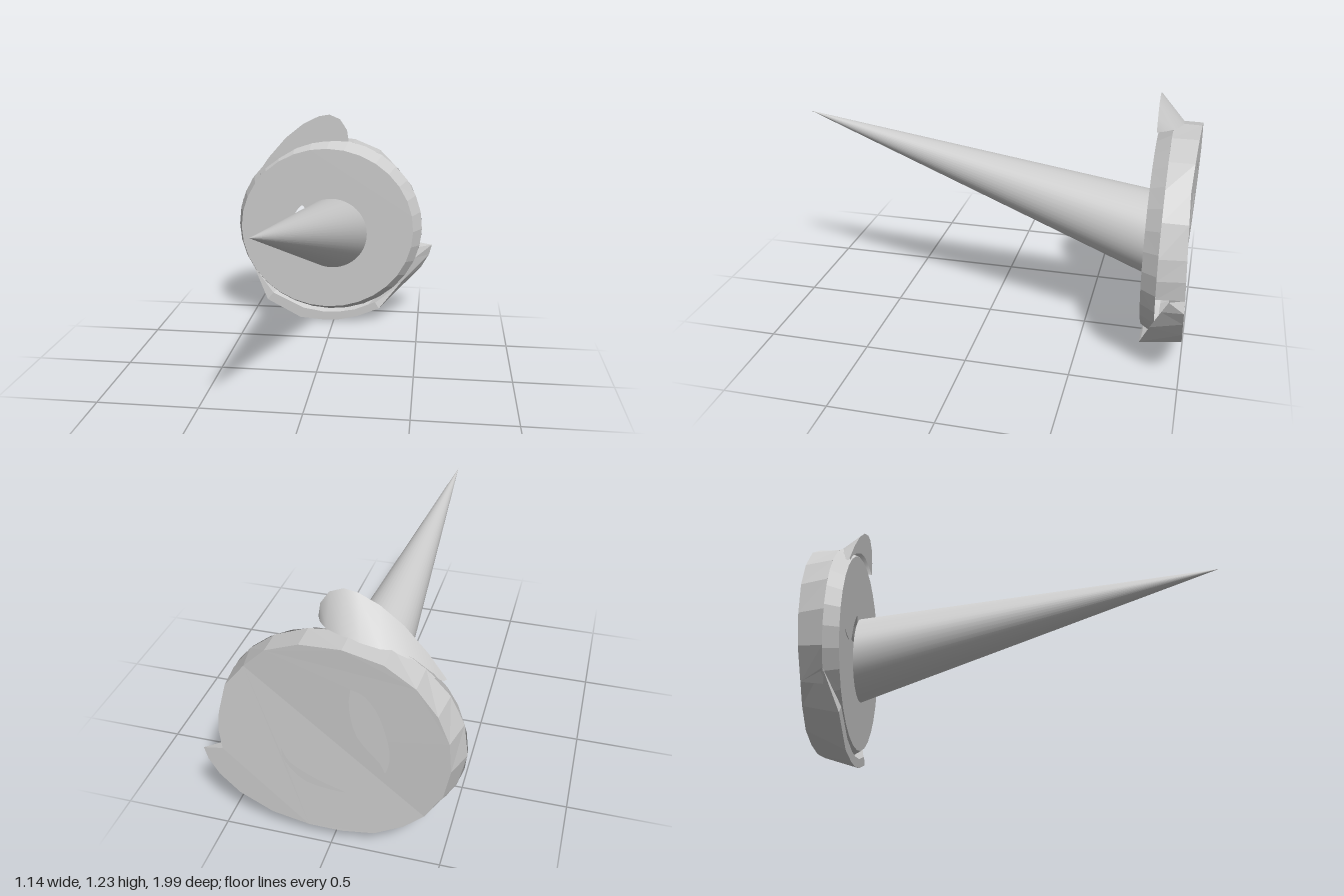
import * as THREE from 'three';

const FRONT_Z = -0.8;
const material = new THREE.MeshStandardMaterial({ color: 0xcccccc, flatShading: true, side: THREE.DoubleSide });
const smooth = new THREE.MeshStandardMaterial({ color: 0xcccccc, side: THREE.DoubleSide });

// Fold across the back plate: shallow valley along a diagonal
const foldA = [0.35, 0.91], foldB = [-0.42, 0.26];
function backZ(x, y) {
  const dx = foldA[0] - foldB[0], dy = foldA[1] - foldB[1];
  const d = Math.abs((x - foldB[0]) * dy - (y - foldB[1]) * dx) / Math.hypot(dx, dy);
  return -0.98 - 0.02 * Math.min(1, d / 0.45);
}

// Surface through several rows of [x, y, z] points of equal length
function loft(rows) {
  const n = rows[0].length, index = [];
  for (let r = 0; r < rows.length - 1; r++) {
    for (let i = 0; i < n - 1; i++) {
      const a = r * n + i, b = a + n;
      index.push(a, b, a + 1, a + 1, b, b + 1);
    }
  }
  const g = new THREE.BufferGeometry();
  g.setAttribute('position', new THREE.Float32BufferAttribute(rows.flat(2), 3));
  g.setIndex(index);
  g.computeVertexNormals();
  return g;
}

const toPoints = (list) => list.map(([x, y]) => new THREE.Vector2(x, y));

// Flat plate with curved openings, placed at depth z(x, y)
function plate(outline, holes, z) {
  const shape = new THREE.Shape(toPoints(outline));
  for (const h of holes) {
    const curve = new THREE.SplineCurve(toPoints([...h, h[0]]));
    shape.holes.push(new THREE.Path(curve.getPoints(24).slice(0, -1)));
  }
  const g = new THREE.ShapeGeometry(shape);
  const p = g.attributes.position;
  for (let i = 0; i < p.count; i++) p.setZ(i, z(p.getX(i), p.getY(i)));
  g.computeVertexNormals();
  return g;
}

const frontPoint = (a) => [-0.045 + 0.505 * Math.cos(a), 0.565 + 0.475 * Math.sin(a), FRONT_Z];
const middlePoint = (a) => [-0.033 + 0.542 * Math.cos(a), 0.57 + 0.515 * Math.sin(a), -0.87];

export function createModel() {
  const group = new THREE.Group();
  const add = (name, geometry, mat = material) => {
    const mesh = new THREE.Mesh(geometry, mat);
    mesh.name = name;
    group.add(mesh);
  };

  // Long leaning spike, sheared towards its tip
  const cone = new THREE.CylinderGeometry(0.0005, 0.207, 1.79, 48, 1, true);
  cone.rotateX(Math.PI / 2);
  cone.translate(0, 0, 0.095);
  const p = cone.attributes.position;
  for (let i = 0; i < p.count; i++) {
    const t = (p.getZ(i) - FRONT_Z) / 1.79;
    p.setXY(i, p.getX(i) - 0.015 - 0.12 * t, p.getY(i) + 0.542 + 0.438 * t);
  }
  cone.computeVertexNormals();
  add('spike', cone, smooth);

  // Front plate and its bevel
  const angles = Array.from({ length: 33 }, (_, i) => (i / 32) * Math.PI * 2);
  add('frontPlate', plate(angles.slice(0, -1).map(frontPoint), [
    [[-0.275, 0.535], [-0.265, 0.58], [-0.235, 0.65], [-0.19, 0.705], [-0.17, 0.66], [-0.2, 0.56]],
    [[-0.44, 0.52], [-0.38, 0.515], [-0.32, 0.512], [-0.38, 0.504]],
  ], () => FRONT_Z));
  add('frontBevel', loft([angles.map(frontPoint), angles.map(middlePoint)]));

  // Back outline, split where the fold meets it
  const lower = [[0.48, 0.455], [0.57, 0.44], [0.555, 0.38], [0.51, 0.3], [0.42, 0.21], [0.27, 0.13],
    [0.1, 0.095], [-0.05, 0.09], [-0.2, 0.11], [-0.33, 0.18], foldB];
  const upper = [foldB, [-0.5, 0.4], [-0.53, 0.55], [-0.52, 0.7], [-0.47, 0.83], [-0.38, 0.95],
    [-0.25, 1.04], [-0.08, 1.08], [0.1, 1.07], [0.25, 1.01], foldA];
  const side = [foldA, [0.44, 0.8], [0.48, 0.65], [0.49, 0.55], [0.48, 0.455]];
  const flip = (g) => {
    const idx = g.index.array;
    for (let i = 0; i < idx.length; i += 3) [idx[i], idx[i + 1]] = [idx[i + 1], idx[i]];
    g.computeVertexNormals();
    return g;
  };

  // Folded back plate with two curved openings
  add('backPlateUpper', flip(plate(upper, [
    [[-0.11, 0.89], [-0.17, 0.865], [-0.23, 0.77], [-0.27, 0.59], [-0.25, 0.47], [-0.225, 0.52], [-0.13, 0.64], [-0.1, 0.79]],
  ], backZ)));
  add('backPlateLower', flip(plate([...lower, ...side.slice(0, -1)], [
    [[0.21, 0.51], [0.195, 0.44], [0.1, 0.345], [-0.07, 0.32], [0.05, 0.365], [0.17, 0.435]],
  ], backZ)));

  // Rim wall between the bevel and the back plate
  const rim = [...upper, ...side.slice(1)];
  const atDepth = ([x, y]) => [x, y, backZ(x, y)];
  const beside = ([x, y]) => middlePoint(Math.atan2((y - 0.57) / 0.515, (x + 0.033) / 0.542));
  add('rim', loft([rim.map(beside), rim.map(atDepth)]));

  // Lower skirt: flat crescent lip in front, wall running to the back
  const lip = [[0.49, 0.455, -0.93], [0.485, 0.44, -0.93], [0.47, 0.38, -0.9], [0.41, 0.26, -0.85],
    [0.27, 0.09, -0.8], [0.14, 0.035, -0.8], [0.03, 0.01, -0.8], [-0.06, 0.005, -0.8],
    [-0.2, 0.015, -0.8], [-0.4, 0.12, -0.8], [-0.49, 0.3, -0.87]];
  add('skirtWall', loft([lip, lower.map(atDepth)]));
  const crescent = lip.slice(4);
  add('skirtLip', loft([crescent.map((q) => [...beside(q).slice(0, 2), q[2]]), crescent]));

  // Upper lobe: flat ear in front with a hollow slope behind
  const ear = [[-0.46, 0.87], [-0.38, 0.985], [-0.28, 1.1], [-0.18, 1.18], [-0.09, 1.225],
    [-0.03, 1.235], [0.03, 1.21], [0.07, 1.15], [0.08, 1.09]];
  const root = [[-0.45, 0.865, -0.81], [-0.4, 0.92, -0.86], [-0.32, 0.98, -0.9], [-0.22, 1.04, -0.92],
    [-0.13, 1.07, -0.92], [-0.05, 1.083, -0.91], [0.02, 1.085, -0.88], [0.06, 1.085, -0.84], [0.08, 1.083, -0.8]];
  const earFront = ear.map(([x, y]) => [x, y, FRONT_Z]);
  add('lobeFront', loft([root.map(([x, y]) => [x, y, FRONT_Z]), earFront]));
  add('lobeSlope', loft([earFront, root]), smooth);

  return group;
}
